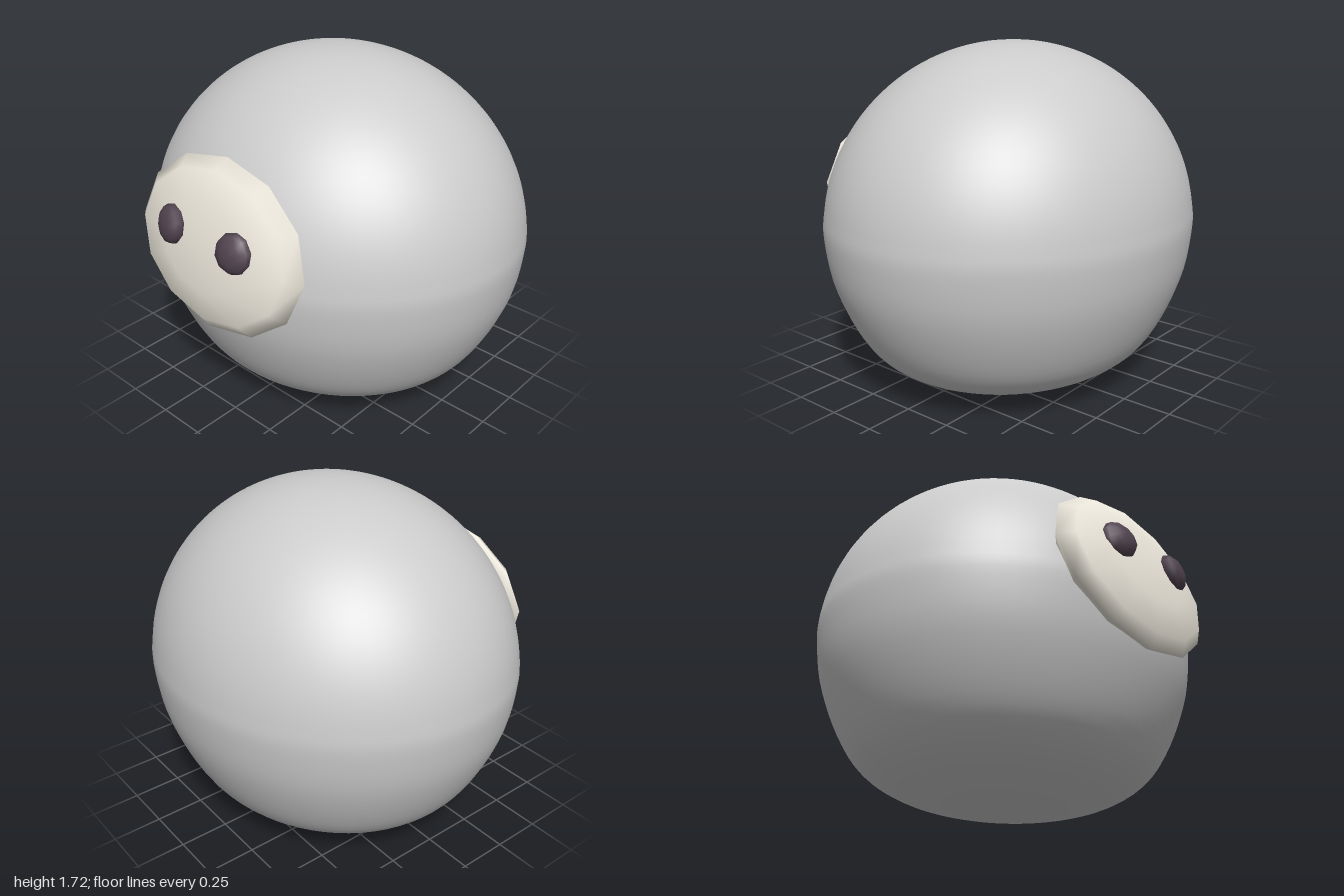
import * as THREE from 'three';

const bodyMat = new THREE.MeshStandardMaterial({ color: 0xcccccc });
const plateMat = new THREE.MeshStandardMaterial({ color: 0xf0ebdf });
const eyeMat = new THREE.MeshStandardMaterial({ color: 0x51434f });

// Low-poly lens: a flattened sphere whose poles lie along local z
function lens(name, sides, rings, rx, ry, rz, material) {
  const geo = new THREE.SphereGeometry(1, sides, rings);
  geo.rotateX(Math.PI / 2);
  geo.rotateZ(Math.PI / 2);
  geo.scale(rx, ry, rz);
  const mesh = new THREE.Mesh(geo, material);
  mesh.name = name;
  return mesh;
}

export function createModel() {
  const model = new THREE.Group();
  model.name = 'roundCreature';

  // Body: flattened underside running into an elliptical dome
  const profile = [
    [0, 0.01], [0.2, 0.015], [0.38, 0.034], [0.59, 0.09], [0.755, 0.19],
    [0.87, 0.35], [0.965, 0.58],
  ].map(([r, y]) => new THREE.Vector2(r, y));
  for (let i = 0; i <= 12; i++) {
    const a = (i / 12) * Math.PI / 2;
    profile.push(new THREE.Vector2(Math.cos(a), 0.8 + 0.928 * Math.sin(a)));
  }
  const points = new THREE.SplineCurve(profile).getPoints(72);
  points[0].x = points[points.length - 1].x = 0;
  const bodyGeo = new THREE.LatheGeometry(points, 72);
  bodyGeo.scale(1, 1, 0.9);
  const body = new THREE.Mesh(bodyGeo, bodyMat);
  body.name = 'body';
  body.position.z = -0.033;
  model.add(body);

  // Face plate, leaning back with the curve of the body
  const plate = lens('facePlate', 12, 6, 0.54, 0.415, 0.12, plateMat);
  plate.position.set(0, 0.98, 0.785);
  plate.rotation.x = -0.2;
  model.add(plate);

  // Eyes, each turned slightly outward
  for (const side of [-1, 1]) {
    const eye = lens(side > 0 ? 'leftEye' : 'rightEye', 10, 6, 0.097, 0.097, 0.053, eyeMat);
    eye.position.set(side * 0.21, 1.05, 0.88);
    eye.rotation.set(-0.25, side * 0.2, 0);
    model.add(eye);
  }
  return model;
}
